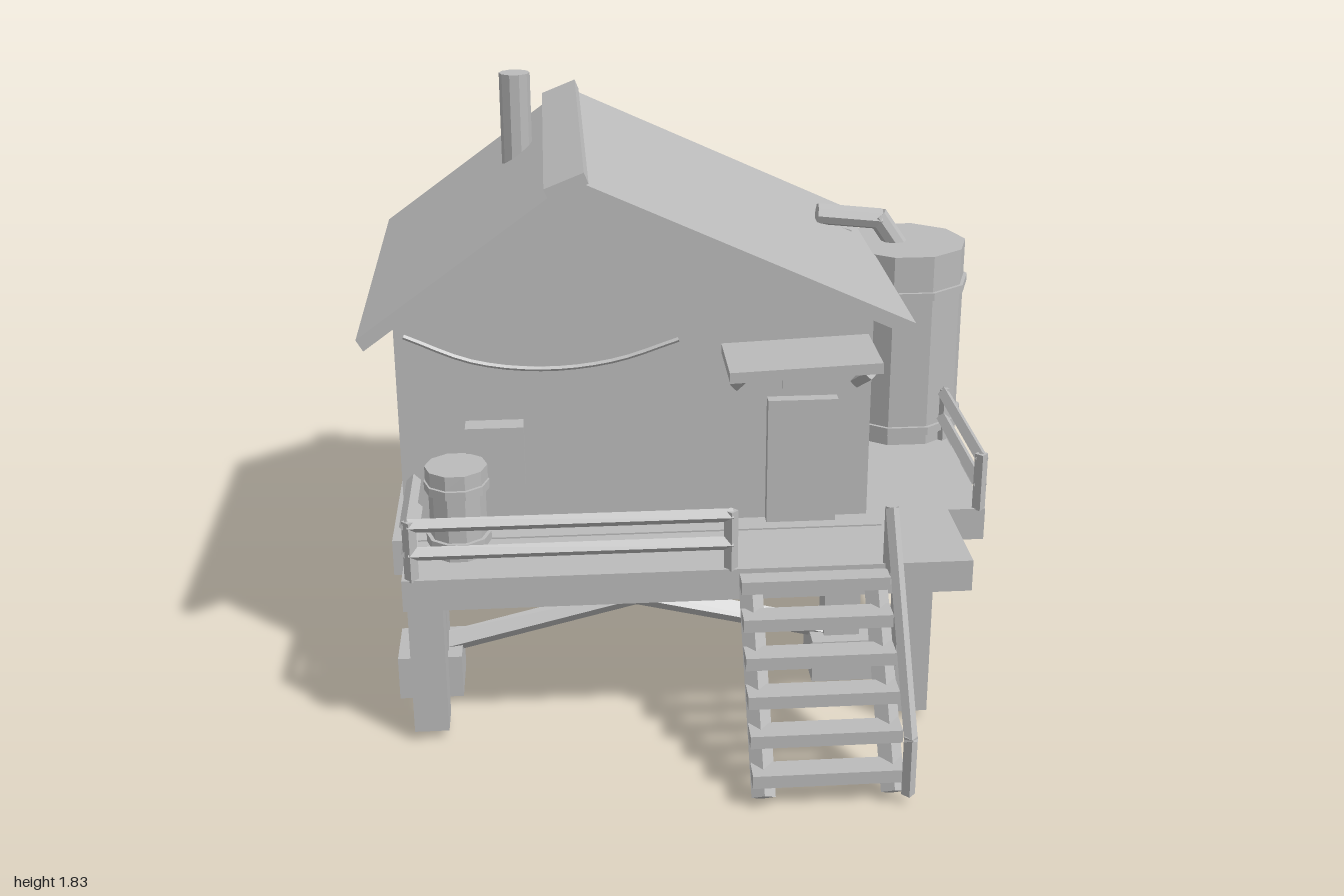
import * as THREE from 'three';

export function createModel() {
  const model = new THREE.Group();
  const grey = new THREE.MeshStandardMaterial({ color: 0xbbbbbb, flatShading: true });
  grey.name = 'plainGrey';
  const V = (x, y, z) => new THREE.Vector3(x, y, z);
  const UP = V(0, 1, 0);

  function add(name, geometry) {
    const mesh = new THREE.Mesh(geometry, grey);
    mesh.name = name;
    model.add(mesh);
    return mesh;
  }
  // Box given by its limits on each axis
  function box(name, x0, x1, y0, y1, z0, z1) {
    const m = add(name, new THREE.BoxGeometry(x1 - x0, y1 - y0, z1 - z0));
    m.position.set((x0 + x1) / 2, (y0 + y1) / 2, (z0 + z1) / 2);
    return m;
  }
  // Straight bar between two points; four sides give a diamond section
  function bar(name, a, b, r, sides = 4) {
    const dir = b.clone().sub(a);
    const m = add(name, new THREE.CylinderGeometry(r, r, dir.length(), sides));
    m.position.copy(a).add(b).multiplyScalar(0.5);
    m.quaternion.setFromUnitVectors(UP, dir.normalize());
    return m;
  }
  // Upright ten-sided drum with a corner pointing along x
  function drum(name, x, z, r, y0, y1) {
    const m = add(name, new THREE.CylinderGeometry(r, r, y1 - y0, 10));
    m.position.set(x, (y0 + y1) / 2, z);
    m.rotation.y = Math.PI / 2;
  }
  // Front outline pushed along z
  function prism(name, points, z0, z1) {
    const shape = new THREE.Shape(points.map(([x, y]) => new THREE.Vector2(x, y)));
    const g = new THREE.ExtrudeGeometry(shape, { depth: z1 - z0, bevelEnabled: false });
    add(name, g.translate(0, 0, z0));
  }

  // House walls and roof
  prism('houseBody', [[-0.9, 0.56], [0.535, 0.56], [0.535, 1.235], [-0.385, 1.645], [-0.9, 1.245]], -0.87, 0.22);
  prism('roofLeft', [[-1, 1.225], [-0.98, 1.19], [-0.36, 1.645], [-0.36, 1.69]], -0.97, 0.315);
  prism('roofRight', [[-0.4, 1.665], [0.645, 1.185], [0.645, 1.232], [-0.36, 1.69]], -0.97, 0.315);
  const cap = box('ridgeCap', -0.442, -0.318, 1.655, 1.69, -0.987, 0.325);
  cap.rotation.z = 0.38;
  const patch = box('roofPatch', 0.485, 0.6, 1.255, 1.275, -0.88, -0.59);
  patch.rotation.z = -0.3;
  drum('chimney', -0.53, -0.53, 0.05, 1.4, 1.83);

  // Floors and decks
  box('houseFloor', -0.935, 0.57, 0.455, 0.57, -0.915, 0.3);
  box('frontDeck', -0.89, 0.8, 0.465, 0.565, 0.2, 0.56);
  box('sideDeck', 0.5, 0.92, 0.457, 0.564, -0.39, 0.2);
  box('tankPlatform', 0.5, 1, 0.405, 0.508, -0.925, -0.29);

  // Posts on footings, plus plain deck legs
  for (const x of [-0.845, 0.47]) {
    for (const z of [0.165, -0.78]) {
      box('footing', x - 0.1, x + 0.1, 0, 0.142, z - 0.1, z + 0.1);
      box('housePost', x - 0.057, x + 0.057, 0.1, 0.47, z - 0.057, z + 0.057);
    }
  }
  for (const [x, z] of [[-0.83, 0.46], [0.64, 0.46], [0.895, -0.78]]) {
    box('deckLeg', x - 0.052, x + 0.052, 0.03, 0.48, z - 0.055, z + 0.055);
  }
  bar('crossBrace', V(-0.845, 0.45, 0.165), V(0.47, 0.13, 0.165), 0.038);
  bar('crossBrace', V(-0.845, 0.13, 0.165), V(0.47, 0.45, 0.165), 0.038);

  // Door, sign board and wall box
  box('door', 0.215, 0.43, 0.565, 0.975, 0.21, 0.258);
  box('doorBoard', 0.26, 0.385, 1.005, 1.1, 0.21, 0.235);
  box('wallBox', -0.7, -0.525, 0.73, 0.925, 0.21, 0.287);

  // Awning and its brackets
  const awning = box('awning', 0.075, 0.522, 1.127, 1.16, 0.215, 0.475);
  awning.rotation.z = 0.04;
  for (const x of [0.122, 0.49]) {
    bar('awningBracket', V(x, 1.13, 0.45), V(x, 1.015, 0.215), 0.02);
  }

  // Cable sagging across the front wall
  const sag = new THREE.CatmullRomCurve3([
    V(-0.87, 1.203, 0.23), V(-0.67, 1.118, 0.23), V(-0.46, 1.09, 0.23), V(-0.25, 1.11, 0.23), V(-0.055, 1.172, 0.23),
  ]);
  add('cable', new THREE.TubeGeometry(sag, 16, 0.008, 5));

  // Water tank with hoops and feed pipe
  drum('waterTank', 0.77, -0.535, 0.214, 0.5, 1.235);
  drum('tankHoop', 0.77, -0.535, 0.226, 1.085, 1.112);
  drum('tankHoop', 0.77, -0.535, 0.226, 0.602, 0.63);
  bar('feedPipe', V(0.47, 1.335, -0.535), V(0.69, 1.312, -0.535), 0.036, 8);
  bar('feedPipe', V(0.675, 1.325, -0.535), V(0.75, 1.215, -0.535), 0.036, 8);

  // Barrel on the deck
  drum('barrel', -0.727, 0.368, 0.085, 0.56, 0.82);
  drum('barrelLid', -0.727, 0.368, 0.093, 0.8, 0.845);
  drum('barrelHoop', -0.727, 0.368, 0.097, 0.77, 0.797);
  drum('barrelHoop', -0.727, 0.368, 0.097, 0.6, 0.627);

  // Railings
  for (const y of [0.735, 0.645]) {
    bar('frontRail', V(-0.865, y, 0.545), V(0.08, y, 0.545), 0.022);
    bar('leftRail', V(-0.865, y, 0.215), V(-0.865, y, 0.55), 0.022);
    bar('rightRail', V(0.9, y, 0.195), V(0.9, y, -0.39), 0.022);
  }
  for (const [x, z] of [[-0.86, 0.545], [0.075, 0.545], [0.9, 0.19], [0.9, -0.375]]) {
    bar('railPost', V(x, 0.56, z), V(x, 0.75, z), 0.021);
  }

  // Stairs with one handrail
  for (const x of [0.133, 0.507]) {
    bar('stairStringer', V(x, 0.52, 0.55), V(x, 0.03, 0.945), 0.035);
  }
  for (let i = 0; i < 6; i++) {
    const y = 0.53 - i * 0.088, z = 0.62 + i * 0.068;
    box('stairTread', 0.1, 0.54, y - 0.02, y + 0.02, z - 0.075, z);
  }
  bar('handrail', V(0.548, 0.745, 0.56), V(0.548, 0.205, 0.965), 0.02);
  bar('handrailPost', V(0.548, 0.5, 0.553), V(0.548, 0.75, 0.553), 0.02);
  bar('handrailPost', V(0.548, 0.03, 0.96), V(0.548, 0.22, 0.96), 0.02);

  return model;
}
